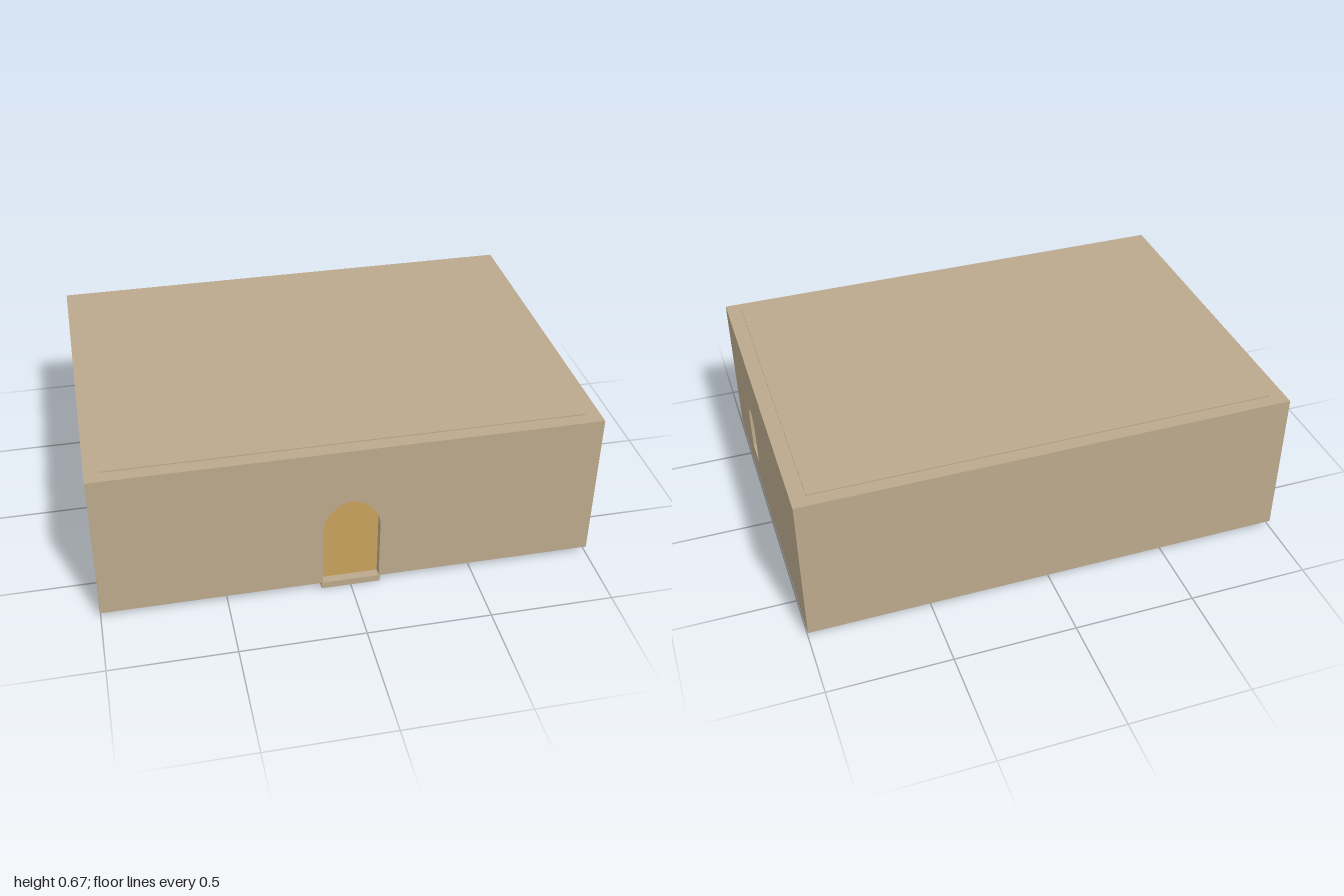
import * as THREE from 'three';

const W = 1, D = 0.715;          // outer half width and half depth
const TX = 0.06, TZ = 0.055;     // side and front wall thickness
const BASE = 0.029, TOP = 0.662; // bottom and top of the walls

// Traces a slightly pointed arch opening centred on cx
function traceArch(path, cx, half, bottom, spring, apex) {
  const rise = apex - spring;
  const c = (rise * rise - half * half) / (2 * half);
  const r = half + c;
  const a = Math.atan2(rise, c);
  const n = 12;
  path.moveTo(cx - half, bottom);
  path.lineTo(cx + half, bottom);
  for (let i = 0; i <= n; i++) {
    const t = (a * i) / n;
    path.lineTo(cx - c + r * Math.cos(t), spring + r * Math.sin(t));
  }
  for (let i = n - 1; i >= 0; i--) {
    const t = (a * i) / n;
    path.lineTo(cx + c - r * Math.cos(t), spring + r * Math.sin(t));
  }
  path.closePath();
  return path;
}

const extrude = (shape, depth) => new THREE.ExtrudeGeometry(shape, { depth, bevelEnabled: false });

export function createModel() {
  const group = new THREE.Group();
  const stone = new THREE.MeshStandardMaterial({ color: 0xbba98c });
  stone.name = 'sandstone';
  const wood = new THREE.MeshStandardMaterial({ color: 0xc9a25e });
  wood.name = 'golden wood';
  const pane = new THREE.MeshStandardMaterial({ color: 0xc9ae80 });
  pane.name = 'pale amber';

  const add = (parent, name, geometry, material, x = 0, y = 0, z = 0) => {
    const mesh = new THREE.Mesh(geometry, material);
    mesh.name = name;
    mesh.position.set(x, y, z);
    parent.add(mesh);
    return mesh;
  };
  const box = (name, x0, x1, y0, y1, z0, z1) =>
    add(group, name, new THREE.BoxGeometry(x1 - x0, y1 - y0, z1 - z0), stone,
      (x0 + x1) / 2, (y0 + y1) / 2, (z0 + z1) / 2);

  // Floor and roof slabs, set inside the walls and standing just proud of them
  const ix = W - TX, iz = D - TZ;
  box('floorSlab', -ix, ix, 0, 0.04, -iz, iz);
  box('roofSlab', -ix, ix, 0.62, 0.667, -iz, iz);
  box('backWall', -W, W, BASE, TOP, -D, -iz);
  box('doorStep', -0.12, 0.12, 0, BASE, iz, D);

  // Front wall with an arched doorway reaching down to the step
  const doorArch = [0, 0.115, BASE, 0.29, 0.425];
  const front = new THREE.Shape();
  front.moveTo(-W, BASE);
  const arch = traceArch(new THREE.Path(), ...doorArch).getPoints();
  // the arch points run right to left once its bottom edge is skipped
  const opening = arch.slice(1, -1).reverse();
  front.lineTo(-0.115, BASE);
  opening.forEach((p) => front.lineTo(p.x, p.y));
  front.lineTo(W, BASE);
  front.lineTo(W, TOP);
  front.lineTo(-W, TOP);
  front.closePath();
  add(group, 'frontWall', extrude(front, TZ), stone, 0, 0, iz);

  // Door leaf recessed in the doorway
  add(group, 'door', extrude(traceArch(new THREE.Shape(), ...doorArch), 0.008), wood, 0, 0, D - 0.043);

  // Side walls, each with a recessed arched window near the front
  for (const s of [1, -1]) {
    const side = new THREE.Group();
    side.name = s > 0 ? 'leftSide' : 'rightSide';
    side.rotation.y = (s * Math.PI) / 2;
    const windowArch = [-s * 0.285, 0.067, 0.162, 0.328, 0.4];
    const wall = new THREE.Shape();
    wall.moveTo(-iz, BASE);
    wall.lineTo(iz, BASE);
    wall.lineTo(iz, TOP);
    wall.lineTo(-iz, TOP);
    wall.closePath();
    wall.holes.push(traceArch(new THREE.Path(), ...windowArch));
    add(side, 'sideWall', extrude(wall, TX), stone, 0, 0, ix);
    add(side, 'windowPane', extrude(traceArch(new THREE.Shape(), ...windowArch), 0.008), pane, 0, 0, W - 0.033);
    group.add(side);
  }
  return group;
}
